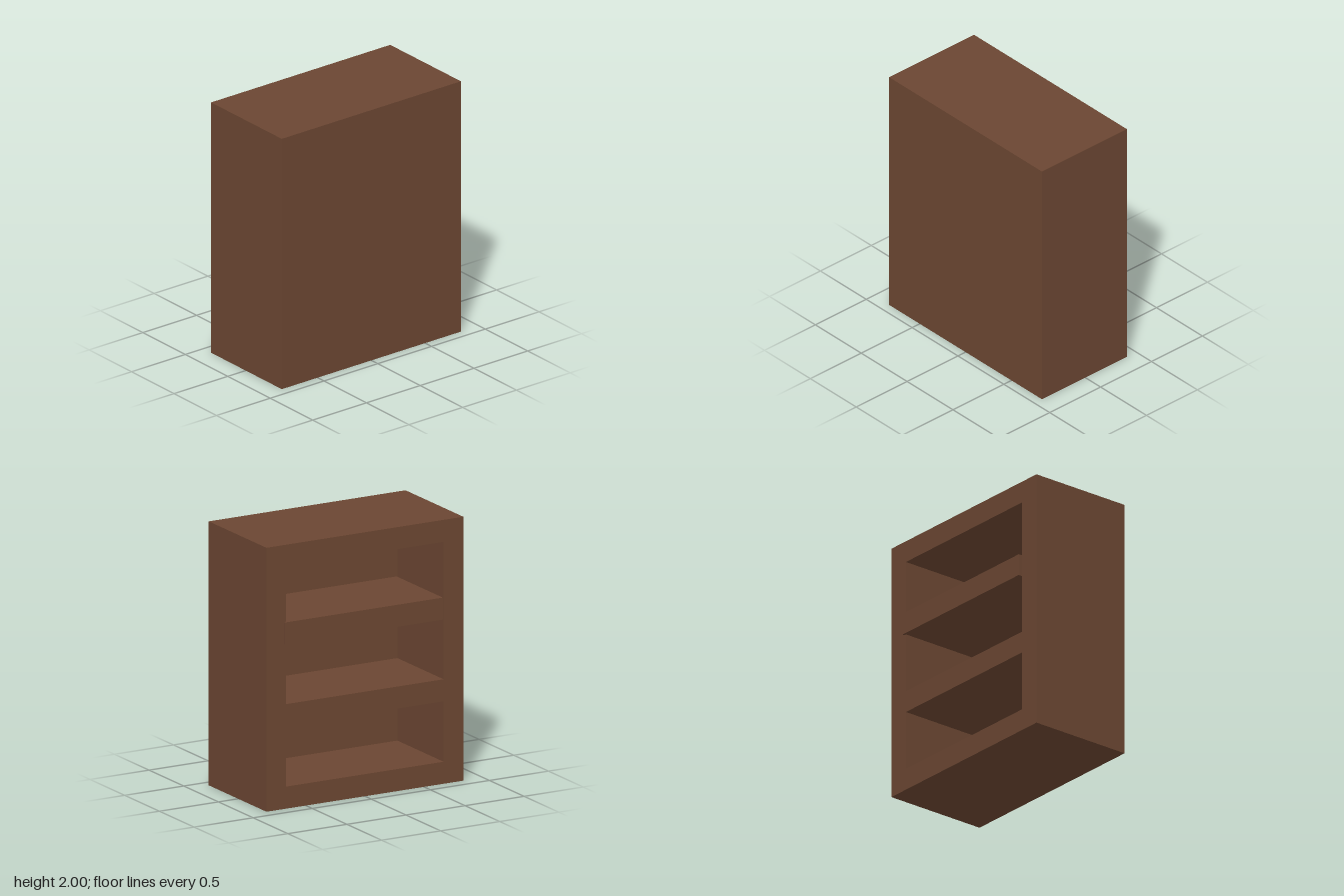
import * as THREE from 'three';

export function createModel() {
  const group = new THREE.Group();
  group.name = 'bookcase';
  const wood = new THREE.MeshStandardMaterial({ color: 0x6b4632 });
  wood.name = 'brown wood';

  const add = (name, geometry) => {
    const mesh = new THREE.Mesh(geometry, wood);
    mesh.name = name;
    group.add(mesh);
  };
  // Box given by its lower and upper bounds
  const box = (name, [x0, y0, z0], [x1, y1, z1]) =>
    add(name, new THREE.BoxGeometry(x1 - x0, y1 - y0, z1 - z0)
      .translate((x0 + x1) / 2, (y0 + y1) / 2, (z0 + z1) / 2));
  // Rectangle outline centred across the width
  const rect = (Type, half, y0, y1) => new Type([
    new THREE.Vector2(-half, y0), new THREE.Vector2(half, y0),
    new THREE.Vector2(half, y1), new THREE.Vector2(-half, y1),
  ]);

  const open = -0.408, back = 0.425, inner = 0.258; // open side, outer and inner back
  const half = 0.833, wall = 0.167;

  // Outer frame with the fixed lower shelf, open towards -x
  const outline = rect(THREE.Shape, half, 0, 2);
  outline.holes.push(
    rect(THREE.Path, half - wall, wall, 0.625),
    rect(THREE.Path, half - wall, 0.792, 2 - wall),
  );
  add('frame', new THREE.ExtrudeGeometry(outline, { depth: inner - open, bevelEnabled: false })
    .rotateY(Math.PI / 2).translate(open, 0, 0));

  // Solid back panel closing the compartments
  box('backPanel', [inner, 0, -half], [back, 2, half]);

  // Loose upper shelf, standing slightly proud of the frame
  box('upperShelf', [-0.425, 1.25, -0.685], [0.242, 1.417, 0.65]);

  return group;
}
